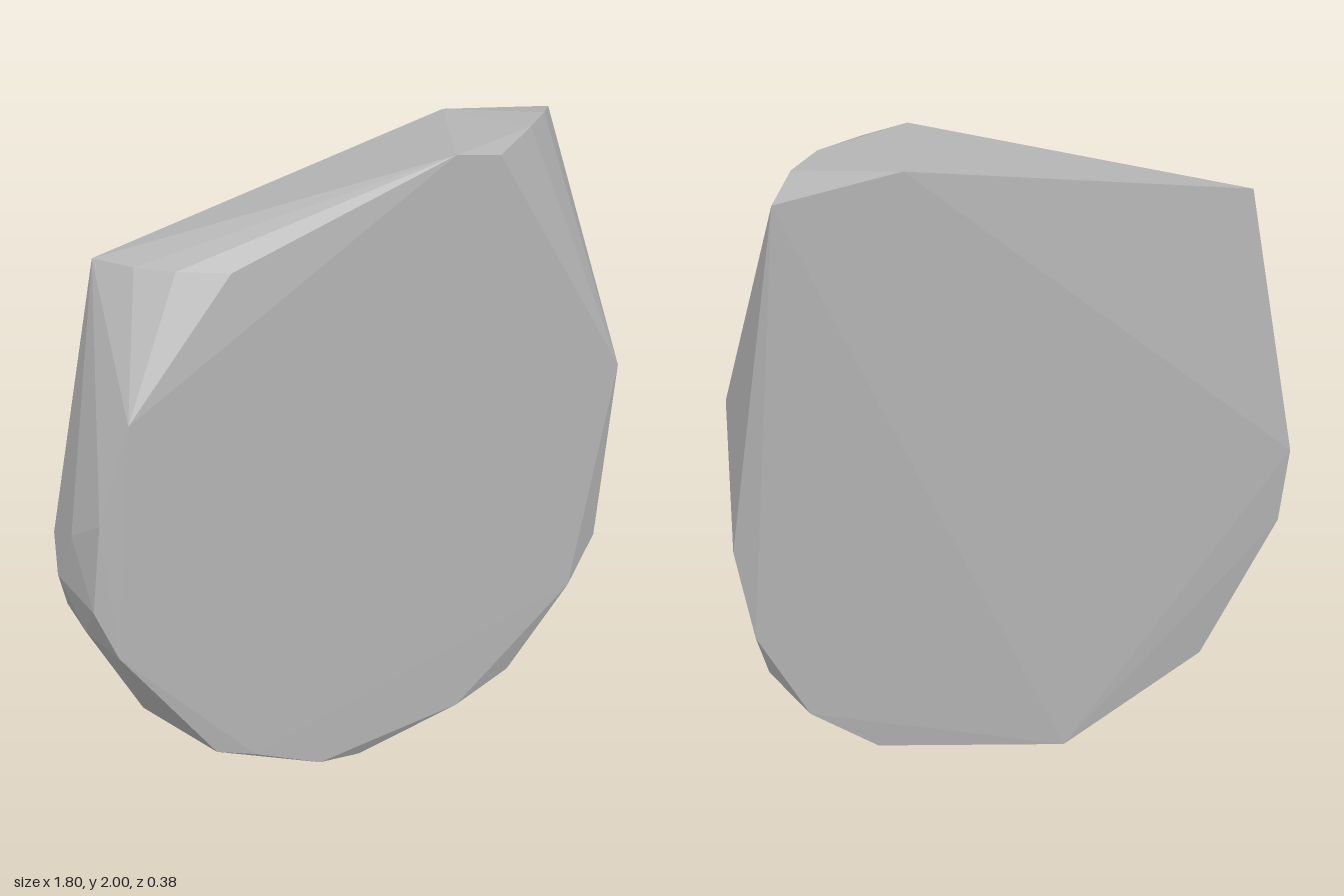
import * as THREE from 'three';
import { ConvexGeometry } from 'three/addons/geometries/ConvexGeometry.js';

// Rim of the broad front face, counter-clockwise from the top
const frontRim = [
  [0.24, 2.0, 0.185], [-0.42, 1.76, 0.155], [-0.74, 1.38, 0.173], [-0.84, 1.09, 0.17],
  [-0.87, 0.81, 0.155], [-0.81, 0.65, 0.175], [-0.52, 0.22, 0.165], [-0.4, 0.18, 0.176],
  [-0.18, 0.075, 0.175], [-0.03, 0.04, 0.145], [0.3, 0.15, 0.18], [0.5, 0.21, 0.15],
  [0.69, 0.5, 0.187], [0.8, 0.64, 0.15], [0.82, 1.25, 0.187], [0.38, 1.98, 0.187],
];

// Corners around the narrow edge, between the two broad faces
const edgeCorners = [
  [0.55, 2.0, 0.06], [0.66, 1.995, -0.05], [-0.64, 1.76, 0.0], [-0.55, 1.76, 0.08],
  [-0.88, 1.0, 0.03], [-0.9, 0.82, -0.07], [-0.85, 0.65, 0.0], [-0.69, 0.33, 0.0],
  [-0.5, 0.155, 0.0], [0.24, 0.065, -0.02], [0.73, 0.33, 0.03], [0.82, 0.47, -0.07],
  [0.9, 0.9, -0.07],
];

// Rim of the broad back face
const backRim = [
  [0.76, 1.96, -0.19], [0.4, 2.0, -0.192], [-0.72, 1.76, -0.11], [-0.87, 0.9, -0.18],
  [-0.85, 0.65, -0.17], [-0.6, 0.2, -0.15], [-0.1, 0.0, -0.175], [0.51, 0.15, -0.13],
  [0.72, 0.33, -0.13], [0.87, 0.64, -0.13],
];

export function createModel() {
  const group = new THREE.Group();
  group.name = 'stoneSlab';

  const stone = new THREE.MeshStandardMaterial({ color: 0xb4b4b4 });
  stone.name = 'stone grey';

  // Faceted slab: the convex skin around all rim corners
  const corners = [...frontRim, ...edgeCorners, ...backRim].map((p) => new THREE.Vector3(...p));
  const slab = new THREE.Mesh(new ConvexGeometry(corners), stone);
  slab.name = 'slab';
  group.add(slab);
  return group;
}
